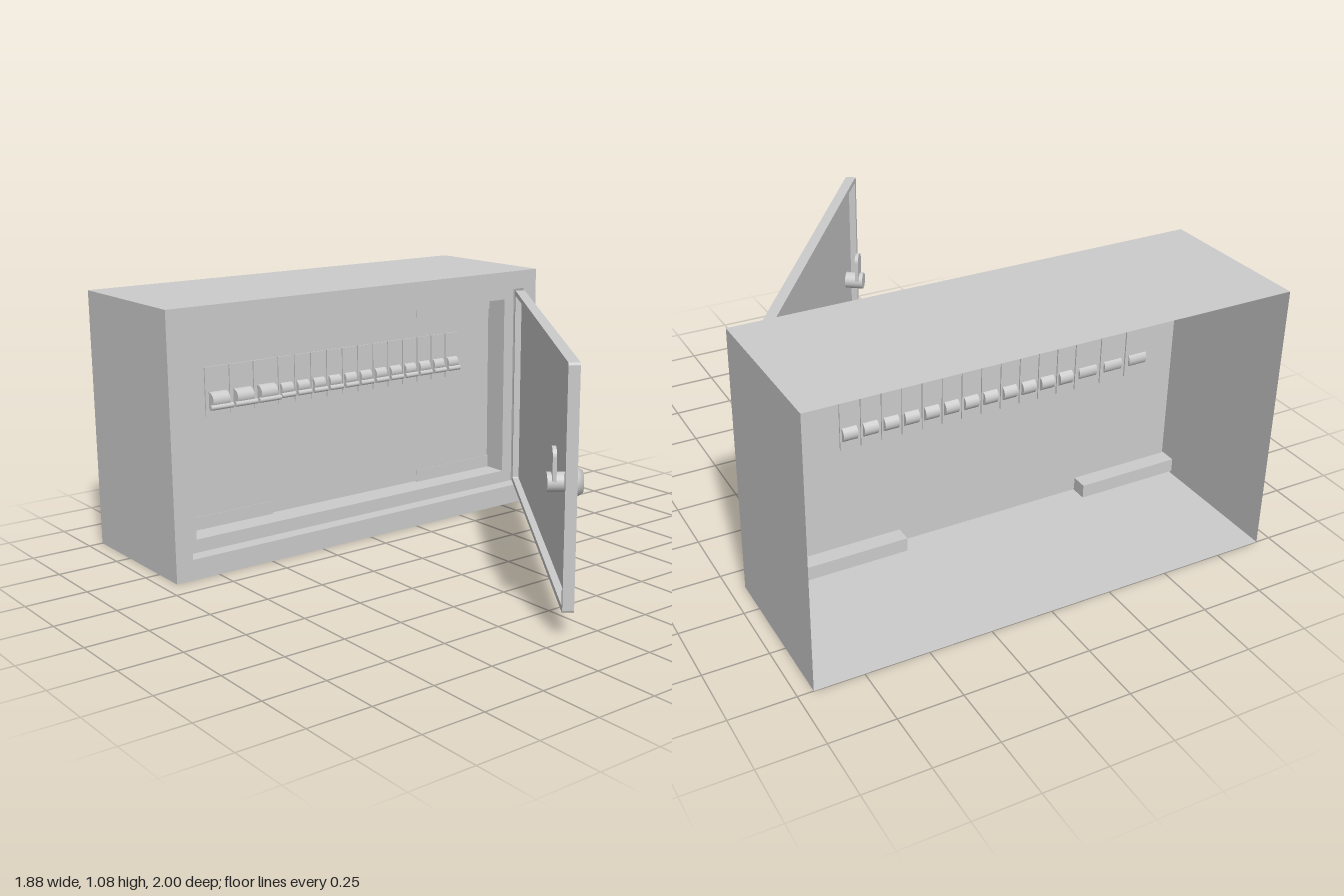
import * as THREE from 'three';

const mat = new THREE.MeshStandardMaterial({ color: 0xcccccc });
const thin = new THREE.MeshStandardMaterial({ color: 0xcccccc, side: THREE.DoubleSide });

function add(parent, name, geometry, x = 0, y = 0, z = 0, material = mat) {
  const mesh = new THREE.Mesh(geometry, material);
  mesh.name = name;
  mesh.position.set(x, y, z);
  parent.add(mesh);
  return mesh;
}

const box = (w, h, d) => new THREE.BoxGeometry(w, h, d);

// Sheet-metal skin through rectangles [halfWidth, bottom, top, z]
function sheetLoft(rects) {
  const pos = [];
  const corners = ([w, b, t, z]) => [[-w, b, z], [w, b, z], [w, t, z], [-w, t, z]];
  for (let i = 0; i < rects.length - 1; i++) {
    const a = corners(rects[i]), c = corners(rects[i + 1]);
    for (let k = 0; k < 4; k++) {
      const n = (k + 1) % 4;
      pos.push(...a[k], ...a[n], ...c[n], ...a[k], ...c[n], ...c[k]);
    }
  }
  const g = new THREE.BufferGeometry();
  g.setAttribute('position', new THREE.Float32BufferAttribute(pos, 3));
  g.computeVertexNormals();
  return g;
}

// Rounded rectangle outline
function roundRect(Type, x0, y0, x1, y1, r) {
  const s = new Type();
  s.absarc(x1 - r, y0 + r, r, -Math.PI / 2, 0);
  s.absarc(x1 - r, y1 - r, r, 0, Math.PI / 2);
  s.absarc(x0 + r, y1 - r, r, Math.PI / 2, Math.PI);
  s.absarc(x0 + r, y0 + r, r, Math.PI, Math.PI * 1.5);
  s.closePath();
  return s;
}

const extrude = (shape, depth) =>
  new THREE.ExtrudeGeometry(shape, { depth, bevelEnabled: false, curveSegments: 6 });

const PANEL_Z = -0.53;

// Breaker: face plate, rocker barrel and lever bar
function makeBreaker(x, width, wide) {
  const g = new THREE.Group();
  g.name = wide ? 'wideBreaker' : 'narrowBreaker';
  g.position.set(x, 0, PANEL_Z);
  add(g, 'breakerPlate', box(width, 0.2, 0.024), 0, 0.705, 0);
  const r = wide ? 0.035 : 0.03;
  const w = width * (wide ? 0.72 : 0.8);
  const barrel = new THREE.CylinderGeometry(r, r, w, 20).rotateZ(Math.PI / 2);
  add(g, 'rocker', barrel, 0, 0.668, wide ? 0.014 : 0);
  const lever = new THREE.CylinderGeometry(0.011, 0.011, width * 0.96, 12).rotateZ(Math.PI / 2);
  add(g, 'lever', lever, 0, 0.645, wide ? 0.045 : 0.028);
  return g;
}

// Door, hinged at its right edge and swung open; local +z is the outer face
function makeDoor() {
  const door = new THREE.Group();
  door.name = 'door';
  const W = 1.678, B = 0.095, T = 0.99, D = 0.042, lip = 0.022;
  add(door, 'doorSheet', extrude(roundRect(THREE.Shape, -W, B, 0, T, 0.012), 0.014), 0, 0, -0.014);
  const rim = roundRect(THREE.Shape, -W, B, 0, T, 0.012);
  rim.holes.push(roundRect(THREE.Path, -W + lip, B + lip, -lip, T - lip, 0.006));
  add(door, 'doorRim', extrude(rim, D - 0.014), 0, 0, -D);

  // Lock: tapered knob outside, barrel and cam arm inside
  const lock = new THREE.Group();
  lock.name = 'lock';
  lock.position.set(-1.555, 0.54, 0);
  const knob = [[0, 0], [0.055, 0], [0.055, 0.012], [0.04, 0.036], [0, 0.036]]
    .map(([x, y]) => new THREE.Vector2(x, y));
  const knobGeo = new THREE.LatheGeometry(knob, 32).rotateX(Math.PI / 2);
  add(lock, 'knob', knobGeo);
  add(lock, 'lockBarrel', new THREE.CylinderGeometry(0.036, 0.036, 0.08, 24).rotateX(Math.PI / 2), 0, 0, -0.052);
  const arm = roundRect(THREE.Shape, -0.035, -0.035, 0.035, 0.13, 0.034);
  add(lock, 'camArm', extrude(arm, 0.015), 0, 0, -0.075);
  door.add(lock);

  door.position.set(0.87, 0, -0.354);
  door.rotation.y = Math.acos(0.59);
  return door;
}

export function createModel() {
  const model = new THREE.Group();
  model.name = 'breakerCabinet';

  // Open-backed case with front border, door rebate and inner collar
  add(model, 'case', sheetLoft([
    [0.94, 0, 1.08, -1],
    [0.94, 0, 1.08, -0.355],
    [0.865, 0.085, 1.0, -0.355],
    [0.865, 0.085, 1.0, -0.42],
    [0.81, 0.14, 0.945, -0.42],
    [0.81, 0.14, 0.945, PANEL_Z],
  ]), 0, 0, 0, thin);

  // Mounting panel
  add(model, 'panel', box(1.61, 0.795, 0.012), 0, 0.5425, PANEL_Z);

  // Terminal bars in the four corners behind the panel
  for (const x of [-0.5975, 0.5975])
    for (const y of [0.1675, 0.9175])
      add(model, 'terminalBar', box(0.425, 0.055, 0.078), x, y, PANEL_Z - 0.031);

  // Breaker row: three wide, twelve narrow
  for (let i = 0; i < 3; i++) model.add(makeBreaker(-0.636 + i * 0.113, 0.108, true));
  for (let i = 0; i < 12; i++) model.add(makeBreaker(-0.31 + i * 0.081, 0.07, false));

  model.add(makeDoor());
  return model;
}
